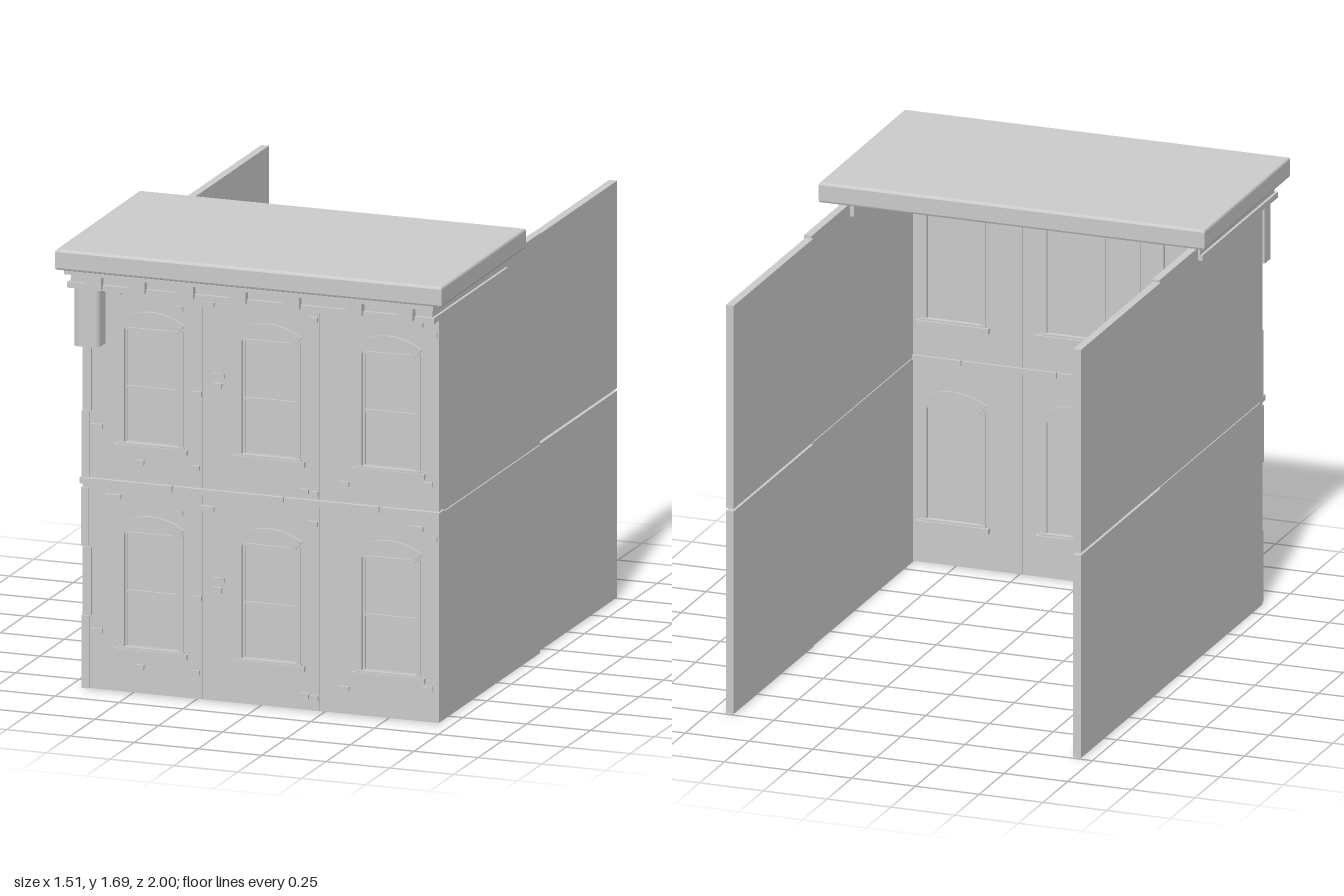
import * as THREE from 'three';

const mat = new THREE.MeshStandardMaterial({ color: 0xcccccc, roughness: 0.9 });
const BACK = 0.835, FACE = 0.865; // inner and outer planes of the facade

function add(parent, name, geo) {
  const mesh = new THREE.Mesh(geo, mat);
  mesh.name = name;
  parent.add(mesh);
  return mesh;
}

// Box given by its minimum and maximum on each axis
function block(parent, name, x0, x1, y0, y1, z0, z1) {
  const mesh = add(parent, name, new THREE.BoxGeometry(x1 - x0, y1 - y0, z1 - z0));
  mesh.position.set((x0 + x1) / 2, (y0 + y1) / 2, (z0 + z1) / 2);
  return mesh;
}

// Shape in the facade plane, extruded from z0 to z1
function slab(parent, name, shape, z0, z1) {
  const geo = new THREE.ExtrudeGeometry(shape, { depth: z1 - z0, bevelEnabled: false, curveSegments: 8 });
  geo.translate(0, 0, z0);
  return add(parent, name, geo);
}

function rect(x0, x1, y0, y1) {
  return new THREE.Shape([[x0, y0], [x1, y0], [x1, y1], [x0, y1]].map(p => new THREE.Vector2(...p)));
}

// Opening with a shallow arched head
function arched(Type, half, y0, spring, crown) {
  const s = new Type();
  s.moveTo(-half, y0);
  s.lineTo(half, y0);
  s.lineTo(half, spring);
  s.quadraticCurveTo(0, 2 * crown - spring, -half, spring);
  s.lineTo(-half, y0);
  return s;
}

// Curved hood over a window
function hoodShape() {
  const s = new THREE.Shape();
  s.moveTo(-0.105, 0.60);
  s.quadraticCurveTo(0, 0.69, 0.105, 0.60);
  s.lineTo(0.132, 0.635);
  s.quadraticCurveTo(0, 0.715, -0.132, 0.635);
  s.lineTo(-0.105, 0.60);
  return s;
}

// Sash frame with a slightly recessed pane
function sash(parent, name, half, y0, y1, z) {
  const f = rect(-half, half, y0, y1);
  f.holes.push(rect(-half + 0.009, half - 0.009, y0 + 0.009, y1 - 0.009));
  slab(parent, name, f, z - 0.004, z + 0.004);
}

// One window bay: local x is centred on the window, y starts at the floor
function bay(x0, x1, cx, height) {
  const g = new THREE.Group();
  g.name = 'windowBay';
  const wall = rect(x0 - cx, x1 - cx, 0, height);
  wall.holes.push(arched(THREE.Path, 0.112, 0.165, 0.60, 0.645));
  slab(g, 'bayWall', wall, BACK, FACE);
  const trim = arched(THREE.Shape, 0.125, 0.16, 0.615, 0.66);
  trim.holes.push(arched(THREE.Path, 0.105, 0.165, 0.60, 0.645));
  slab(g, 'windowTrim', trim, BACK - 0.004, FACE + 0.004);
  slab(g, 'windowHood', hoodShape(), BACK - 0.008, FACE + 0.01);
  slab(g, 'windowPane', arched(THREE.Shape, 0.11, 0.165, 0.60, 0.645), 0.844, 0.848);
  sash(g, 'lowerSash', 0.106, 0.165, 0.385, 0.85);
  sash(g, 'upperSash', 0.106, 0.376, 0.605, 0.853);
  block(g, 'windowSill', -0.143, 0.143, 0.145, 0.165, BACK - 0.02, FACE + 0.014);
  block(g, 'sillLip', -0.13, 0.13, 0.16, 0.172, BACK - 0.012, FACE + 0.009);
  g.position.x = cx;
  return g;
}

// Exposed bricks of one storey: x, y, width, tilt
const bricks = [
  [-0.57, 0.737, 0.055, 0], [-0.205, 0.727, 0.055, -0.05], [-0.315, 0.697, 0.03, 0.1],
  [0.21, 0.71, 0.035, -0.1], [0.61, 0.73, 0.06, -0.05], [0.68, 0.695, 0.03, 0.1],
  [-0.16, 0.46, 0.045, 0.06], [-0.165, 0.423, 0.035, -0.15], [-0.245, 0.382, 0.035, 0],
  [-0.637, 0.222, 0.045, 0.03], [-0.47, 0.10, 0.035, -0.05], [-0.252, 0.10, 0.033, 0],
  [0.175, 0.055, 0.035, -0.12], [0.215, 0.048, 0.03, 0], [0.33, 0.097, 0.04, -0.05],
  [0.658, 0.125, 0.04, 0.12]
];

function storey(y, height) {
  const g = new THREE.Group();
  g.name = 'facadeStorey';
  for (const [x0, x1, cx] of [[-0.69, -0.227, -0.425], [-0.225, 0.233, 0.035], [0.235, 0.70, 0.505]])
    g.add(bay(x0, x1, cx, height));
  for (const [x, by, w, tilt] of bricks) {
    const b = block(g, 'exposedBrick', x - w / 2, x + w / 2, by - 0.009, by + 0.009, FACE - 0.01, FACE + 0.01);
    b.rotation.z = tilt;
  }
  // Uneven stones along the weathered corner
  [[0, 0.28, -0.695], [0.28, 0.54, -0.69], [0.54, 0.765, -0.697]].forEach(([a, b, x], i) =>
    block(g, 'cornerStone', x, x + 0.028 + 0.004 * (i % 2), a, b - 0.004, BACK, FACE + 0.007));
  g.position.y = y;
  return g;
}

// U-shaped moulding around the front and both sides, seen in plan
function cornice(parent, name, half, front, y0, y1) {
  const s = new THREE.Shape([[-half, -0.2], [-half, -front], [half, -front], [half, -0.2],
    [0.65, -0.2], [0.65, -0.82], [-0.65, -0.82], [-0.65, -0.2]].map(p => new THREE.Vector2(...p)));
  const geo = new THREE.ExtrudeGeometry(s, { depth: y1 - y0, bevelEnabled: false });
  geo.rotateX(-Math.PI / 2);
  geo.translate(0, y0, 0);
  add(parent, name, geo);
}

export function createModel() {
  const model = new THREE.Group();
  model.name = 'buildingFront';

  // Facade
  model.add(storey(0.012, 0.782), storey(0.787, 0.783));
  const joints = [-0.70, -0.335, 0.10, 0.475, 0.712];
  for (let i = 0; i < 4; i++)
    block(model, 'beltCourse', joints[i], joints[i + 1] - 0.004, 0.79 + 0.002 * (i % 2), 0.812, BACK - 0.01, 0.882);

  // Side walls, two panels deep and two high
  for (const [a, b, c, d, z0, z1, y0, y1] of [
    [-0.70, -0.67, 0.665, 0.695, -0.19, 0.85, 0.008, 0.796],
    [-0.70, -0.67, 0.665, 0.695, -0.19, 0.85, 0.80, 1.60],
    [-0.705, -0.675, 0.657, 0.688, -1, -0.194, 0.012, 0.796],
    [-0.705, -0.675, 0.657, 0.688, -1, -0.194, 0.806, 1.592]]) {
    block(model, 'rightWallPanel', a, b, y0, y1, z0, z1);
    block(model, 'leftWallPanel', c, d, y0, y1, z0, z1);
  }

  // Cornice with dentils
  cornice(model, 'corniceBase', 0.718, 0.962, 1.55, 1.572);
  cornice(model, 'corniceFrieze', 0.708, 0.95, 1.572, 1.606);
  cornice(model, 'corniceTop', 0.722, 0.984, 1.606, 1.624);
  for (const x of [-0.61, -0.44, -0.25, -0.045, 0.165, 0.41, 0.61])
    block(model, 'dentil', x - 0.031, x + 0.031, 1.558, 1.62, 0.94, 0.978);

  // Corner bracket with a rounded front
  const b = new THREE.Shape();
  b.moveTo(-0.705, -0.86);
  b.lineTo(-0.605, -0.86);
  b.lineTo(-0.605, -0.92);
  b.quadraticCurveTo(-0.61, -0.94, -0.63, -0.94);
  b.lineTo(-0.68, -0.94);
  b.quadraticCurveTo(-0.70, -0.94, -0.705, -0.92);
  const bracket = new THREE.ExtrudeGeometry(b, { depth: 0.23, bevelEnabled: false, curveSegments: 4 });
  bracket.rotateX(-Math.PI / 2);
  bracket.translate(0, 1.325, 0);
  add(model, 'cornerBracket', bracket);

  // Roof slab with softened edges, set very slightly askew
  const roof = new THREE.ExtrudeGeometry(rect(-0.742, 0.742, -0.43, 0.43), {
    depth: 0.06, bevelThickness: 0.009, bevelSize: 0.009, bevelSegments: 2 });
  roof.rotateX(-Math.PI / 2);
  const top = add(model, 'roofSlab', roof);
  top.position.set(0, 1.631, 0.552);
  top.rotation.y = 0.006;
  top.scale.set(1.005, 1, 1.005);
  return model;
}
